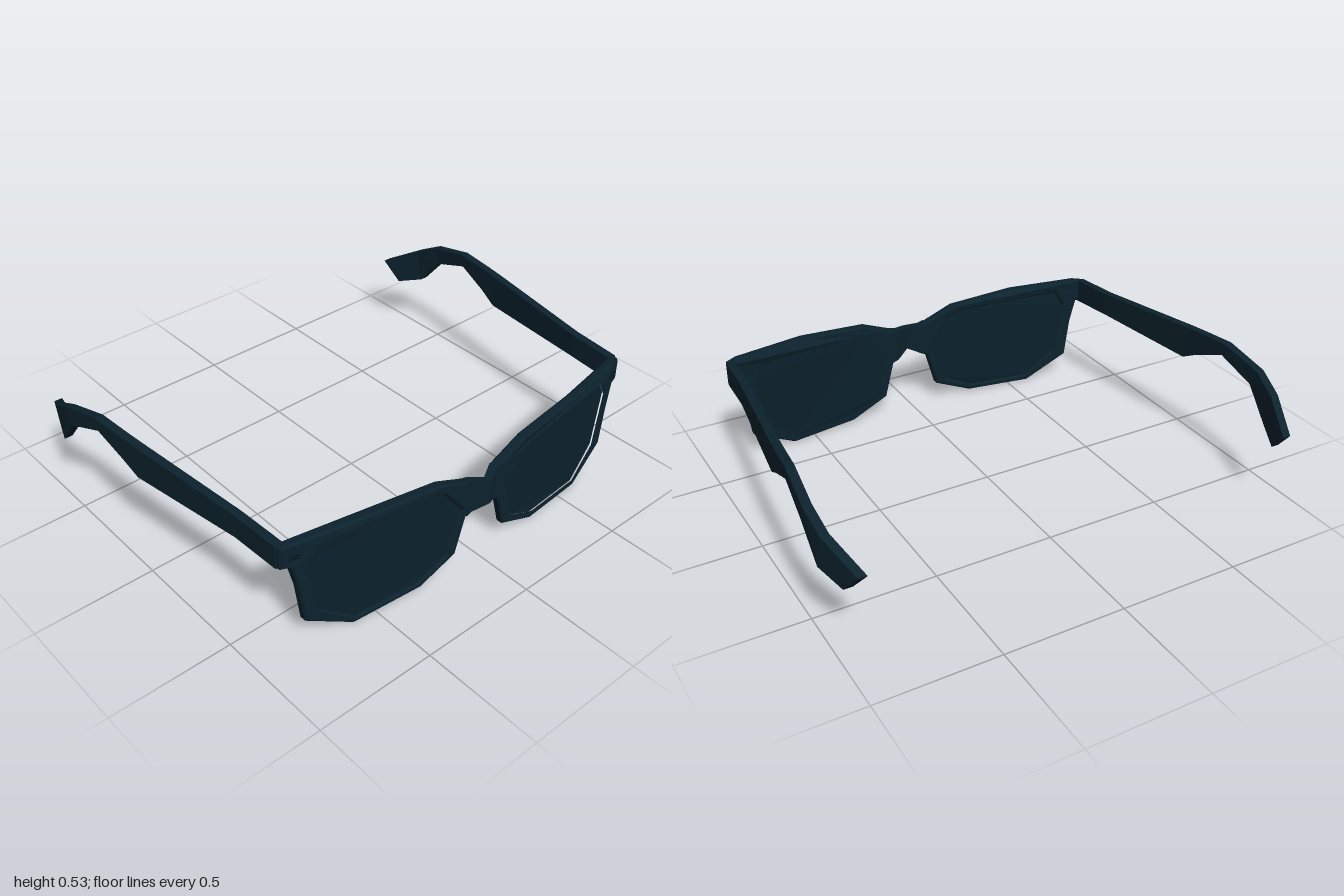
import * as THREE from 'three';

const frameMat = new THREE.MeshStandardMaterial({ color: 0x0c222d });
frameMat.name = 'dark teal frame';
const lensMat = new THREE.MeshStandardMaterial({ color: 0x0b202a });
lensMat.name = 'tinted lens';
const pinMat = new THREE.MeshStandardMaterial({ color: 0x081419 });
pinMat.name = 'dark hinge pin';

// piecewise linear lookup through [position, value] pairs in rising order
function along(table, t) {
  if (t <= table[0][0]) return table[0][1];
  for (let i = 1; i < table.length; i++) {
    const [a, va] = table[i - 1], [b, vb] = table[i];
    if (t <= b) return va + (vb - va) * (t - a) / (b - a);
  }
  return table[table.length - 1][1];
}

// wrap of the front: z of its front face by distance from the middle
const wrap = [[0.06, 0.752], [0.2, 0.748], [0.5, 0.727], [0.82, 0.669], [0.88, 0.65]];
// splay of the arms: outer x by z
const splay = [[-0.78, 0.925], [-0.7, 0.949], [-0.61, 0.992], [-0.5, 1], [-0.14, 0.966],
  [0.1, 0.936], [0.42, 0.893], [0.63, 0.879]];

const rimOutline = [[0.065, 0.399], [0.22, 0.462], [0.52, 0.487], [0.83, 0.49], [0.874, 0.482],
  [0.874, 0.388], [0.837, 0.385], [0.812, 0.28], [0.79, 0.11], [0.6, 0.002], [0.3, 0.012],
  [0.13, 0.085], [0.086, 0.245], [0.065, 0.255]];
const lensOutline = [[0.25, 0.433], [0.73, 0.443], [0.772, 0.375], [0.728, 0.135],
  [0.59, 0.028], [0.31, 0.038], [0.168, 0.1], [0.108, 0.29], [0.2, 0.41]];

const armTop = [[0.63, 0.486], [0.42, 0.494], [-0.09, 0.524], [-0.17, 0.528], [-0.32, 0.535],
  [-0.51, 0.488], [-0.62, 0.43], [-0.78, 0.338]];
const armBottom = [[0.63, 0.385], [0.42, 0.394], [-0.09, 0.381], [-0.17, 0.423], [-0.31, 0.481],
  [-0.48, 0.418], [-0.59, 0.289], [-0.7, 0.249]];

const points = (list, s) => list.map(([x, y]) => new THREE.Vector2(x * s, y));

// shift every vertex back along the wrap, then refresh the facet normals
function bend(geo) {
  const p = geo.attributes.position;
  for (let i = 0; i < p.count; i++) p.setZ(i, p.getZ(i) + along(wrap, Math.abs(p.getX(i))));
  geo.computeVertexNormals();
  return geo;
}

// faceted skin through closed four-corner sections, capped at both ends
function loft(sections, flip) {
  const v = [];
  const tri = (a, b, c) => v.push(...a, ...(flip ? c : b), ...(flip ? b : c));
  const quad = (a, b, c, d) => { tri(a, b, c); tri(a, c, d); };
  for (let i = 0; i < sections.length - 1; i++) {
    const A = sections[i], B = sections[i + 1];
    for (let j = 0; j < 4; j++) {
      const k = (j + 1) % 4;
      quad(A[j], A[k], B[k], B[j]);
    }
  }
  const [a, b, c, d] = sections[0];
  quad(d, c, b, a);
  quad(...sections[sections.length - 1]);
  const geo = new THREE.BufferGeometry();
  geo.setAttribute('position', new THREE.Float32BufferAttribute(v, 3));
  geo.computeVertexNormals();
  return geo;
}

function add(group, name, geo, mat) {
  const mesh = new THREE.Mesh(geo, mat);
  mesh.name = name;
  group.add(mesh);
  return mesh;
}

export function createModel() {
  const model = new THREE.Group();
  model.name = 'sunglasses';

  // bridge: sections run from -x to +x, peaking forward in the middle
  const bridge = [[-0.085, 0.247, 0.406, 0.752], [-0.06, 0.256, 0.398, 0.752],
    [0, 0.284, 0.385, 0.784], [0.06, 0.256, 0.398, 0.752], [0.085, 0.247, 0.406, 0.752]]
    .map(([x, lo, hi, z]) => [[x, lo, z], [x, lo, z - 0.038], [x, hi, z - 0.038], [x, hi, z]]);
  add(model, 'bridge', loft(bridge, false), frameMat);

  for (const s of [1, -1]) {
    const side = s > 0 ? 'left' : 'right';

    // rim with chamfered edges and a lens opening
    const rim = new THREE.Shape(points(rimOutline, s));
    rim.holes.push(new THREE.Path(points(lensOutline, s)));
    const rimGeo = new THREE.ExtrudeGeometry(rim, {
      depth: 0.026, bevelThickness: 0.008, bevelSize: 0.007, bevelOffset: -0.007, bevelSegments: 1
    });
    rimGeo.translate(0, 0, -0.034);
    add(model, side + 'Rim', bend(rimGeo), frameMat);

    // lens set into the opening, its edge hidden inside the rim
    const lensGeo = new THREE.ExtrudeGeometry(new THREE.Shape(points(lensOutline, s)), {
      depth: 0.018, bevelThickness: 0.002, bevelSize: 0.002, bevelSegments: 1
    });
    lensGeo.translate(0, 0, -0.03);
    add(model, side + 'Lens', bend(lensGeo), lensMat);

    // arm: straight run, thinned neck and drooping ear tip
    const arm = armTop.map(([zt, yt], i) => {
      const [zb, yb] = armBottom[i];
      const xt = along(splay, zt), xb = along(splay, zb);
      return [[s * xb, yb, zb], [s * (xb - 0.035), yb, zb],
        [s * (xt - 0.035), yt, zt], [s * xt, yt, zt]];
    });
    add(model, side + 'Arm', loft(arm, s < 0), frameMat);

    // two small hinge pins on the rim corner
    for (const y of [0.427, 0.44]) {
      const pin = add(model, side + 'HingePin', new THREE.BoxGeometry(0.04, 0.005, 0.004), pinMat);
      pin.position.set(s * 0.825, y, along(wrap, 0.825) + 0.001);
      pin.rotation.y = s * 0.25;
    }
  }
  return model;
}
